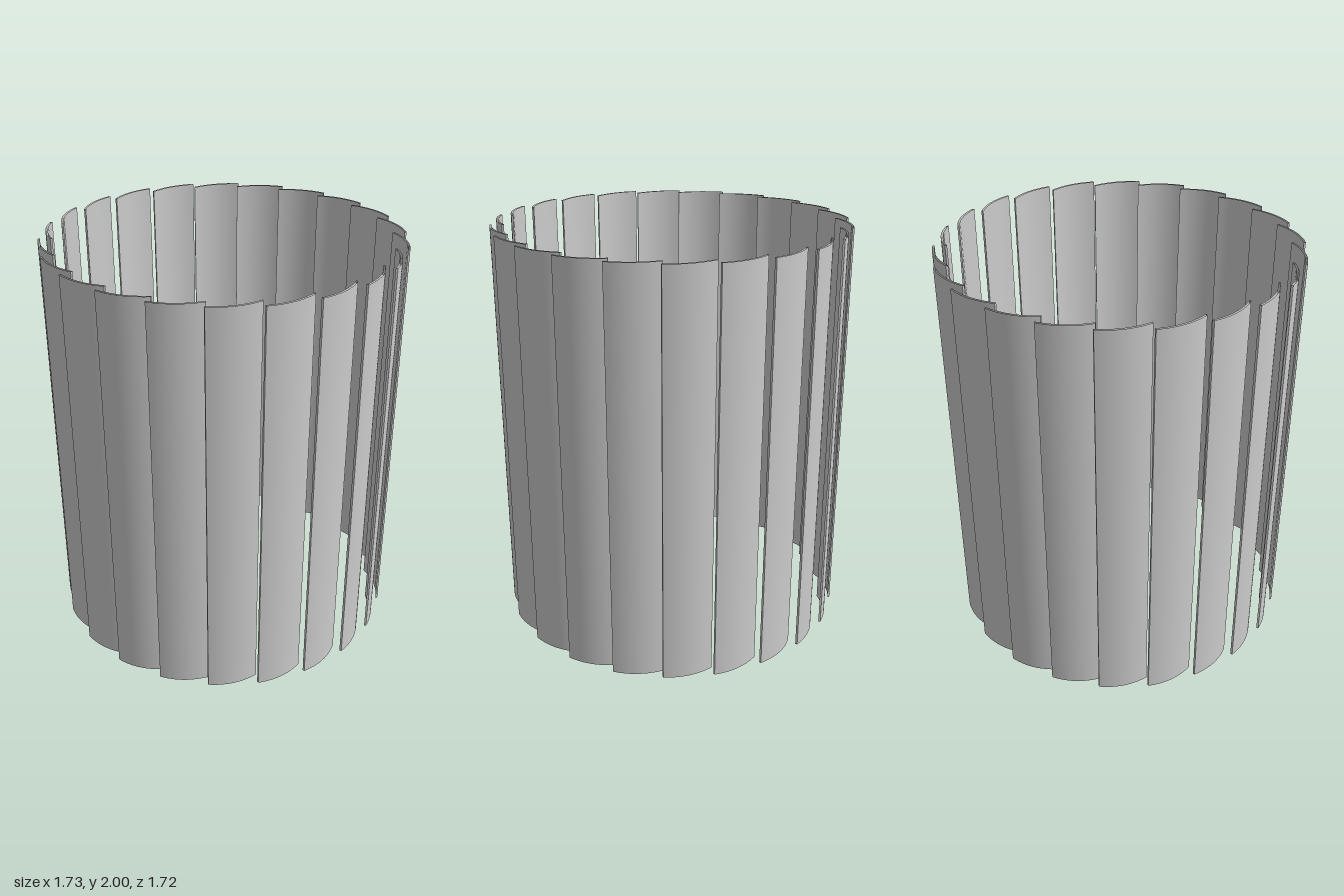
import * as THREE from 'three';
import { toCreasedNormals } from 'three/addons/utils/BufferGeometryUtils.js';

const COUNT = 22, STEP = (Math.PI * 2) / COUNT;
const HEIGHT = 2, R_OUT = 0.865, R_IN = 0.808;
const BOW = 0.023, THICK = 0.01, SEGS = 12;

// Closed slat cross-section: bowed outer wall, then back along the inner wall
function slatProfile() {
  const a = new THREE.Vector2(0, R_OUT);
  const b = new THREE.Vector2(R_IN * Math.sin(STEP), R_IN * Math.cos(STEP));
  const d = b.clone().sub(a).normalize();
  const n = new THREE.Vector2(-d.y, d.x);
  const at = (t, offset) =>
    a.clone().lerp(b, t).addScaledVector(n, BOW * 4 * t * (1 - t) - offset);
  const pts = [];
  for (let i = 0; i <= SEGS; i++) pts.push(at(i / SEGS, 0));
  for (let i = SEGS; i >= 0; i--) pts.push(at(i / SEGS, THICK));
  return pts;
}

// Sweep the cross-section straight up, leaving the ends open
function slatGeometry() {
  const pts = slatProfile(), count = pts.length;
  const pos = [], idx = [];
  for (const p of pts) pos.push(p.x, 0, p.y, p.x, HEIGHT, p.y);
  for (let i = 0; i < count; i++) {
    const a = i * 2, b = ((i + 1) % count) * 2;
    idx.push(a, b, b + 1, a, b + 1, a + 1);
  }
  const geo = new THREE.BufferGeometry();
  geo.setAttribute('position', new THREE.Float32BufferAttribute(pos, 3));
  geo.setIndex(idx);
  return toCreasedNormals(geo, Math.PI / 5);
}

export function createModel() {
  const model = new THREE.Group();
  model.name = 'slatRing';
  const material = new THREE.MeshStandardMaterial({ color: 0xcccccc, side: THREE.DoubleSide });
  const geometry = slatGeometry();

  // Overlapping ring of tilted vertical slats
  for (let i = 0; i < COUNT; i++) {
    const slat = new THREE.Mesh(geometry, material);
    slat.name = `slat${i + 1}`;
    slat.rotation.y = THREE.MathUtils.degToRad(-7) + i * STEP;
    model.add(slat);
  }
  return model;
}
